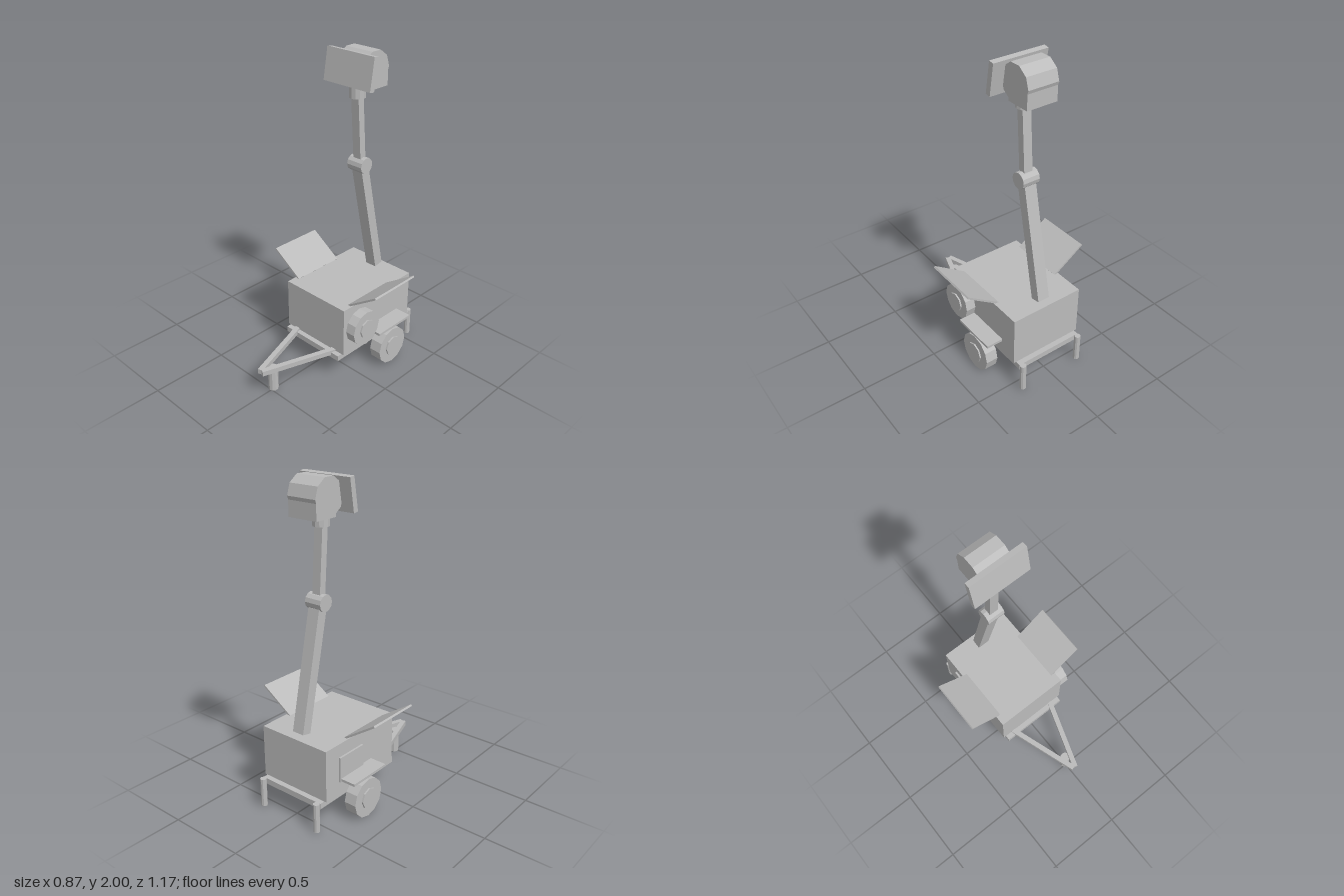
import * as THREE from 'three';

export function createModel() {
  const model = new THREE.Group();
  model.name = 'surveillanceTrailer';
  const grey = new THREE.MeshStandardMaterial({ color: 0xbbbbbb, flatShading: true });
  grey.name = 'lightGrey';

  const add = (name, geometry, x, y, z, parent = model) => {
    const mesh = new THREE.Mesh(geometry, grey);
    mesh.name = name;
    mesh.position.set(x, y, z);
    parent.add(mesh);
    return mesh;
  };
  // Box given by its minimum and maximum corners
  const box = (name, [x0, y0, z0], [x1, y1, z1]) => add(name,
    new THREE.BoxGeometry(x1 - x0, y1 - y0, z1 - z0), (x0 + x1) / 2, (y0 + y1) / 2, (z0 + z1) / 2);
  const post = (name, r, y0, y1, x, z, sides = 10) =>
    add(name, new THREE.CylinderGeometry(r, r, y1 - y0, sides), x, (y0 + y1) / 2, z);
  // Cylinder lying along x
  const roller = (name, r, width, sides, x, y, z, parent) =>
    add(name, new THREE.CylinderGeometry(r, r, width, sides).rotateZ(Math.PI / 2), x, y, z, parent);
  // Rectangular beam between two points
  const beam = (name, from, to, width, depth) => {
    const a = new THREE.Vector3(...from), b = new THREE.Vector3(...to);
    const geometry = new THREE.BoxGeometry(width, depth, a.distanceTo(b));
    const mid = a.clone().add(b).multiplyScalar(0.5);
    add(name, geometry, mid.x, mid.y, mid.z).lookAt(b);
  };
  // Wheel with a raised octagonal hub on its outer face
  const wheel = (name, r, width, x, y, z) => {
    const group = new THREE.Group();
    group.name = name;
    group.position.set(x, y, z);
    model.add(group);
    const side = Math.sign(x);
    roller('tyre', r, width, 12, 0, 0, 0, group);
    roller('hub', r * 0.52, 0.02, 8, side * (width / 2), 0, 0, group);
  };

  // Cabinet and chassis
  box('cabinet', [-0.247, 0.187, -0.512], [0.247, 0.515, 0.113]);
  box('chassis', [-0.23, 0.15, -0.546], [0.23, 0.187, 0.146]);
  box('serviceDoor', [-0.26, 0.27, -0.4], [-0.246, 0.43, -0.19]);

  // Parts mirrored on both sides
  for (const s of [-1, 1]) {
    wheel('roadWheel', 0.125, 0.08, s * 0.305, 0.127, -0.245);
    add('fender', new THREE.BoxGeometry(0.115, 0.016, 0.295), s * 0.3, 0.285, -0.247);
    post('rearLeg', 0.02, 0.005, 0.19, s * 0.215, -0.563);
    beam('towBar', [s * 0.165, 0.182, 0.11], [s * 0.007, 0.182, 0.578], 0.033, 0.032);
    const panel = add('solarPanel', new THREE.BoxGeometry(0.257, 0.012, 0.36), s * 0.327, 0.583, -0.135);
    panel.rotation.z = s * Math.atan2(0.143, 0.213);
  }
  wheel('spareWheel', 0.116, 0.064, 0.29, 0.365, -0.013);
  post('frontLeg', 0.032, 0.01, 0.17, 0, 0.482);

  // Folding mast
  beam('lowerMast', [0, 0.528, -0.443], [0, 1.252, -0.288], 0.08, 0.064);
  roller('mastJoint', 0.051, 0.114, 12, 0, 1.29, -0.279);
  beam('upperMast', [0, 1.28, -0.279], [0, 1.74, -0.246], 0.058, 0.045);
  post('headNeck', 0.05, 1.718, 1.79, 0, -0.247, 12);

  // Sensor head with its tilted front plate
  roller('headDrum', 0.113, 0.2, 10, 0, 1.892, -0.29);
  box('headBase', [-0.1, 1.777, -0.396], [0.1, 1.892, -0.24]);
  add('frontPlate', new THREE.BoxGeometry(0.36, 0.198, 0.035), 0, 1.899, -0.183).rotation.x = -0.16;

  return model;
}
